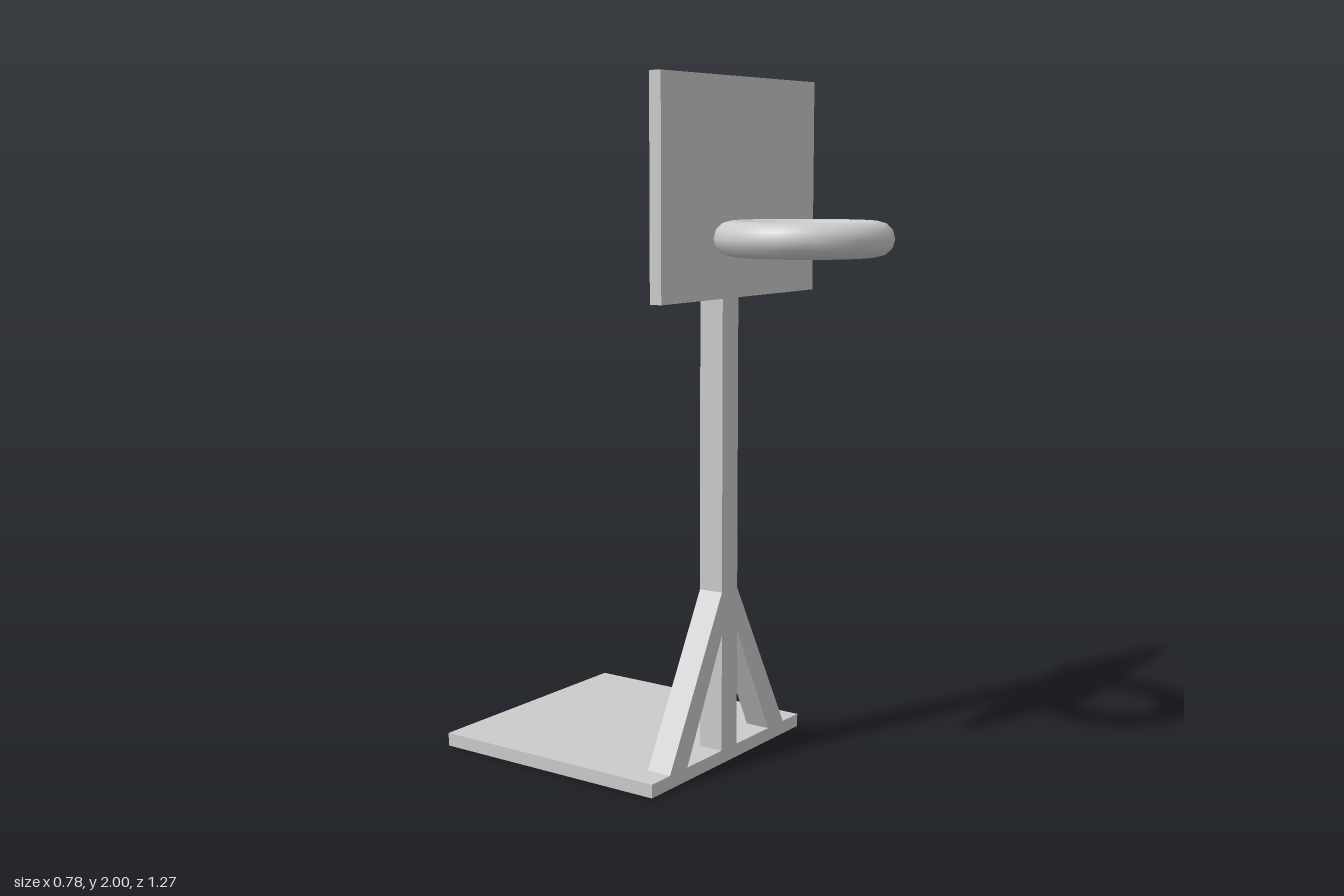
import * as THREE from 'three';

const material = new THREE.MeshStandardMaterial({ color: 0xcccccc, flatShading: true });
const smoothMaterial = new THREE.MeshStandardMaterial({ color: 0xcccccc });

// Flat outline [x, y] extruded along +z
function prism(points, depth) {
  const shape = new THREE.Shape(points.map(([x, y]) => new THREE.Vector2(x, y)));
  return new THREE.ExtrudeGeometry(shape, { depth, bevelEnabled: false });
}

export function createModel() {
  const group = new THREE.Group();
  const add = (name, geometry, x, y, z, mat = material) => {
    const mesh = new THREE.Mesh(geometry, mat);
    mesh.name = name;
    mesh.position.set(x, y, z);
    group.add(mesh);
    return mesh;
  };

  // Ground plate reaching out behind the post
  add('base', new THREE.BoxGeometry(0.772, 0.04, 0.773), 0, 0.02, -0.2485);

  // Post with a slanted top; the outline lies in the (-z, y) plane
  const post = prism([[-0.138, 0.04], [-0.06, 0.04], [-0.06, 1.625], [-0.138, 1.775]], 0.08);
  post.rotateY(Math.PI / 2);
  add('post', post, -0.04, 0, 0);

  // Diagonal braces, mirrored left and right
  for (const side of [1, -1]) {
    const outline = [[0.04, 0.39], [0.215, 0.04], [0.3, 0.04], [0.04, 0.52]];
    add(side > 0 ? 'leftBrace' : 'rightBrace',
      prism(outline.map(([x, y]) => [x * side, y]), 0.078), 0, 0, 0.06);
  }

  // Backboard
  add('backboard', new THREE.BoxGeometry(0.776, 0.617, 0.038), 0, 1.6915, 0.157);

  // Hoop, its rear edge sunk through the board
  const hoop = new THREE.TorusGeometry(0.202, 0.049, 12, 48);
  hoop.rotateX(Math.PI / 2);
  add('hoop', hoop, 0, 1.553, 0.382, smoothMaterial);

  return group;
}
